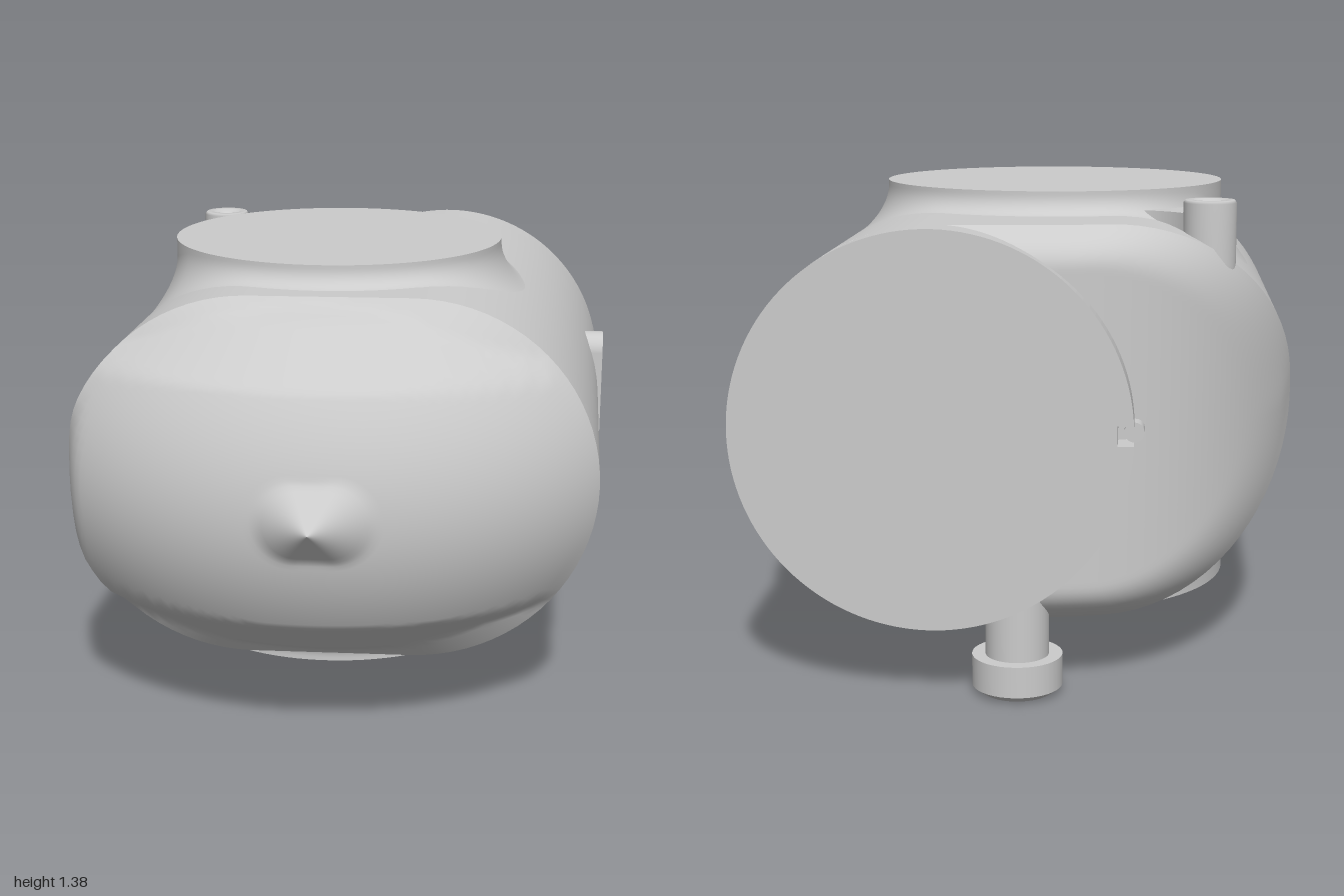
import * as THREE from 'three';

const R = 0.555, CY = 0.765, RX = 0.235, LX = -0.245; // housing section: radius, centre height, arc centres
const MAT = new THREE.MeshStandardMaterial({ color: 0xcccccc, side: THREE.DoubleSide });
const range = (n, f) => Array.from({ length: n + 1 }, (_, i) => f(i / n));

// Skin a list of closed rings of [x, y, z] points
function skin(rows) {
  const n = rows[0].length, idx = [];
  for (let j = 0; j < rows.length - 1; j++) {
    for (let i = 0; i < n; i++) {
      const a = j * n + i, b = j * n + (i + 1) % n;
      idx.push(a, b, a + n, b, b + n, a + n);
    }
  }
  const g = new THREE.BufferGeometry();
  g.setAttribute('position', new THREE.Float32BufferAttribute(rows.flat(2), 3));
  g.setIndex(idx);
  g.computeVertexNormals();
  return g;
}

// Stadium cross-section as [x, y] pairs
function section() {
  const pts = [], A = 40, F = 12;
  for (const [cx, a0, side] of [[RX, -Math.PI / 2, 1], [LX, Math.PI / 2, -1]]) {
    for (let i = 0; i < A; i++) {
      const a = a0 + Math.PI * i / A;
      pts.push([cx + R * Math.cos(a), CY + R * Math.sin(a)]);
    }
    for (let i = 0; i < F; i++) pts.push([cx - side * (RX - LX) * i / F, CY + side * R]);
  }
  return pts;
}

// Half height of the housing at a given x
function halfHeight(x) {
  const d = Math.max(x - RX, LX - x, 0);
  return Math.sqrt(Math.max(R * R - d * d, 0));
}

// Domed front, turned about a vertical axis, meeting the sides along a nearly straight rim
function frontZ(x, y, s) {
  const d = Math.abs(y - CY);
  let r = 1.04 - 0.1 * (d / 0.35) ** 2;
  if (d > 0.35) r = 0.94 - (d - 0.35) * 1.38;
  if (d > 0.495) r = 0.74 - (d - 0.495) * 2.33;
  const dome = -0.04 + Math.sqrt(Math.max(r * r - (x + 0.06) ** 2, 0));
  const rim = 0.59 - 0.045 * x + 0.5 * (1 - s);
  const soft = Math.max((-x - 0.73) / 0.07, 0) ** 2;
  return Math.max(dome, rim) - 0.1 * soft;
}

// Upright back wall curving round to the left side, with rounded upper and lower edges
function backZ(x, y, s) {
  const v = THREE.MathUtils.clamp(0.2 - x, 0, 1);
  const round = Math.max((s - 0.8) / 0.2, 0) ** 2 * Math.abs(y - CY) / R;
  return -0.2 - 0.75 * Math.pow(1 - v ** 3, 0.68) + 0.09 * round;
}

// Round port blended into the housing by a fillet; dir is 1 on top, -1 below
function port(cx, cz, r, yEnd, dir) {
  const N = 96, end = Math.abs(yEnd - CY);
  const ring = (f) => range(N - 1, (t) => {
    const a = t * Math.PI * 2 * (N - 1) / N;
    return f(Math.cos(a), dir * Math.sin(a));
  });
  const at = (c, s, rad, h) => [cx + c * rad, CY + dir * h, cz + s * rad];
  const face = [0, 1].map((k) => ring((c, s) => at(c, s, r * k, end)));
  const wall = [ring((c, s) => at(c, s, r, end))];
  for (let j = 0; j <= 10; j++) {
    const k = j / 10;
    wall.push(ring((c, s) => {
      const f = Math.min(0.11, (end - halfHeight(cx + c * r)) * 0.85);
      const rad = r + f * (1 - Math.cos(k * Math.PI / 2));
      const lift = f * (1 - Math.sin(k * Math.PI / 2));
      return at(c, s, rad, halfHeight(cx + c * rad) + lift - 0.003 * k);
    }));
  }
  return [skin(face), skin(wall)];
}

function extrude(shape, depth) {
  return new THREE.ExtrudeGeometry(shape, { depth, bevelEnabled: false, curveSegments: 64 });
}

export function createModel() {
  const model = new THREE.Group();
  const add = (name, geo, parent = model) => {
    const m = new THREE.Mesh(geo, MAT);
    m.name = name;
    parent.add(m);
    return m;
  };

  // Housing: back wall, side band and front dome, all on the same section
  const full = section();
  const cap = (t, zOf) => full.map(([px, py]) => {
    const x = px * t, y = CY + (py - CY) * t;
    return [x, y, zOf(x, y, t)];
  });
  add('backWall', skin(range(40, (t) => cap(t, backZ))));
  add('housing', skin(range(8, (t) => full.map(([x, y]) => {
    return [x, y, THREE.MathUtils.lerp(backZ(x, y, 1), frontZ(x, y, 1), t)];
  }))));
  add('frontDome', skin(range(40, (t) => cap(1 - t, frontZ))));

  // Round back barrel with a small key slot in its rim
  const barrel = new THREE.Shape();
  barrel.absarc(0.231, CY, 0.556, -Math.PI + 0.05, Math.PI - 0.05, false);
  barrel.lineTo(-0.28, CY + 0.028);
  barrel.lineTo(-0.28, CY - 0.028);
  barrel.closePath();
  add('backBarrel', extrude(barrel, 0.4)).position.z = -0.98;
  const key = add('keyPin', new THREE.CylinderGeometry(0.028, 0.028, 0.1, 20));
  key.rotation.x = Math.PI / 2;
  key.position.set(-0.325, CY, -0.875);

  // Top and bottom ports
  const [topFace, topWall] = port(-0.06, -0.05, 0.52, 1.388, 1);
  add('topPortFace', topFace);
  add('topPortWall', topWall);
  const [lowFace, lowWall] = port(-0.058, -0.045, 0.545, 0.143, -1);
  add('bottomPortFace', lowFace);
  add('bottomPortWall', lowWall);

  // Screw lug beside the top port, with a flared neck
  const lug = new THREE.Group();
  lug.name = 'screwLug';
  lug.position.set(-0.53, 0, -0.575);
  lug.rotation.y = -Math.atan2(0.525, 0.47); // local x points at the port centre
  model.add(lug);
  const prof = [[0.076, 1.15], [0.076, 1.36], [0.07, 1.368], [0.048, 1.368],
    [0.045, 1.36], [0.026, 1.36], [0.022, 1.345], [0, 1.345]];
  add('lugPost', new THREE.LatheGeometry(prof.map((p) => new THREE.Vector2(...p)), 40), lug);
  const neck = new THREE.Shape();
  neck.moveTo(0, -0.07);
  neck.quadraticCurveTo(0.12, -0.04, 0.21, -0.12);
  neck.lineTo(0.21, 0.12);
  neck.quadraticCurveTo(0.12, 0.04, 0, 0.07);
  const neckMesh = add('lugNeck', extrude(neck, 0.18), lug);
  neckMesh.rotation.x = -Math.PI / 2;
  neckMesh.position.y = 1.15;

  // Side plate with two screw holes
  const plate = new THREE.Shape();
  plate.absarc(0, 0.17, 0.062, 0, Math.PI, false);
  plate.absarc(0, -0.17, 0.062, Math.PI, Math.PI * 2, false);
  plate.closePath();
  for (const y of [0.18, -0.18]) {
    plate.holes.push(new THREE.Path().absarc(0, y, 0.02, 0, Math.PI * 2, true));
  }
  const side = add('sidePlate', extrude(plate, 0.09));
  side.rotation.y = Math.PI / 2;
  side.position.set(0.71, CY, -0.453);

  // Drain knob under the back end
  const knob = [[0, 0.003], [0.1, 0.003], [0.128, 0.023], [0.128, 0.112], [0.09, 0.112], [0.09, 0.3]];
  for (let i = 0; i < knob.length - 1; i++) {
    const seg = [knob[i], knob[i + 1]].map((p) => new THREE.Vector2(...p));
    add('drainKnob', new THREE.LatheGeometry(seg, 40)).position.set(0, 0, -0.87);
  }
  return model;
}
